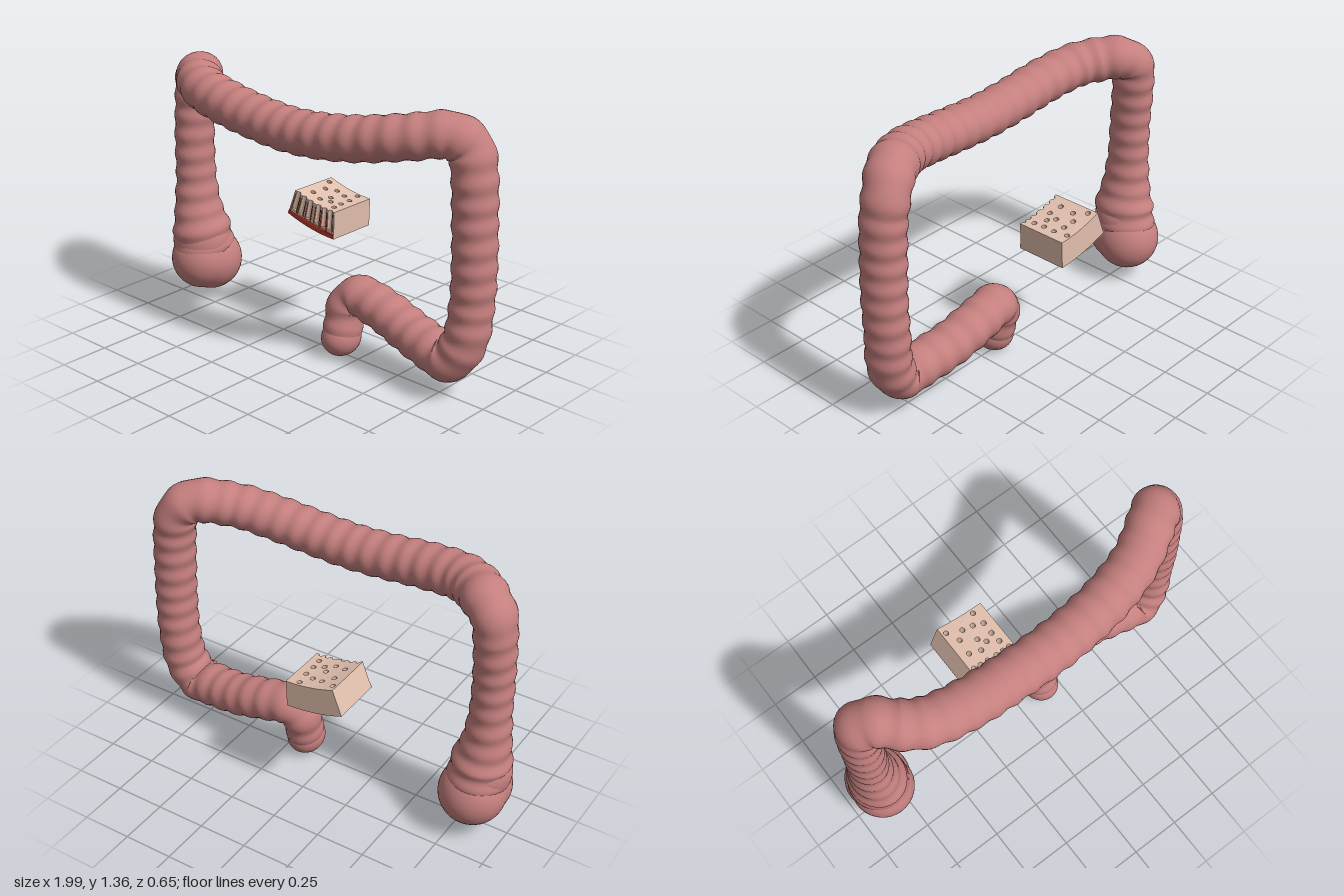
import * as THREE from 'three';
import { mergeVertices } from 'three/addons/utils/BufferGeometryUtils.js';

const mat = (name, color) => Object.assign(new THREE.MeshStandardMaterial({ color }), { name });

// Lobed tube path: x, y, z, radius
const PATH = [
  [-0.83, 0.26, -0.02, 0.15], [-0.842, 0.40, -0.005, 0.143], [-0.857, 0.52, 0, 0.115],
  [-0.865, 0.68, 0, 0.098], [-0.868, 0.88, 0, 0.096], [-0.865, 1.08, -0.01, 0.098],
  [-0.85, 1.2, -0.01, 0.102], [-0.79, 1.243, 0.025, 0.108], [-0.7, 1.235, 0.105, 0.109],
  [-0.6, 1.222, 0.16, 0.108], [-0.4, 1.195, 0.193, 0.108], [-0.2, 1.17, 0.199, 0.107],
  [0, 1.157, 0.2, 0.107], [0.2, 1.167, 0.193, 0.107], [0.4, 1.193, 0.17, 0.107],
  [0.6, 1.23, 0.115, 0.106], [0.785, 1.252, 0.005, 0.108], [0.847, 1.2, -0.035, 0.104],
  [0.876, 1.08, -0.037, 0.102], [0.888, 0.88, -0.036, 0.101], [0.895, 0.68, -0.036, 0.101],
  [0.89, 0.48, -0.036, 0.101], [0.868, 0.29, -0.02, 0.105], [0.8, 0.19, -0.005, 0.11],
  [0.68, 0.2, -0.02, 0.106], [0.52, 0.23, -0.045, 0.104], [0.36, 0.275, -0.058, 0.103],
  [0.2, 0.303, -0.052, 0.101], [0.153, 0.25, -0.03, 0.097], [0.15, 0.17, -0.01, 0.094],
  [0.15, 0.095, 0.01, 0.092]
];
// The tube is a little deeper than it is wide
const DEPTH = 1.12;

// Sweep a tube along the path, swelling it into evenly spaced round lobes
function lobedTube(path, spacing) {
  const curve = new THREE.CatmullRomCurve3(path.map(p => new THREE.Vector3(p[0], p[1], p[2])), false, 'centripetal');
  curve.arcLengthDivisions = 1000;
  const lobes = Math.round(curve.getLength() / spacing), steps = lobes * 10, sides = 28;
  const geo = new THREE.TubeGeometry(curve, steps, 1, sides, false);
  const pos = geo.attributes.position, v = new THREE.Vector3();
  for (let i = 0; i <= steps; i++) {
    const u = i / steps, centre = curve.getPointAt(u);
    const k = curve.getUtoTmapping(u) * (path.length - 1);
    const a = Math.min(Math.floor(k), path.length - 2);
    const radius = THREE.MathUtils.lerp(path[a][3], path[a + 1][3], k - a);
    const swell = 0.975 - 0.035 * Math.cos(u * lobes * Math.PI * 2);
    for (let j = 0; j <= sides; j++) {
      const n = i * (sides + 1) + j;
      v.fromBufferAttribute(pos, n).sub(centre).multiplyScalar(radius * swell);
      v.z *= DEPTH;
      v.add(centre);
      pos.setXYZ(n, v.x, v.y, v.z);
    }
  }
  geo.deleteAttribute('uv');
  geo.deleteAttribute('normal');
  const smooth = mergeVertices(geo, 1e-5);
  smooth.computeVertexNormals();
  return smooth;
}

// Bent slab: flat plan (s along the arc, depth -z) extruded upward, then curved about an axis
const AXIS = { x: 0.06, y: 1.476 }, R_BOTTOM = 0.93, R_TOP = 0.79;
function bentSlab(s0, s1, front, back, h0, h1, pits = [], notches = []) {
  const pts = [], n = 6, r = 0.012;
  const edge = [];
  for (let i = 0; i <= n; i++) {
    const s = s0 + (s1 - s0) * i / n;
    if (notches.every(c => Math.abs(s - c) > r + 0.002)) edge.push([s, [[s, -front]]]);
  }
  for (const c of notches) {
    const arc = [];
    for (let i = 0; i <= 8; i++) {
      const t = Math.PI * (1 - i / 8);
      arc.push([c + r * Math.cos(t), -front + r * Math.sin(t)]);
    }
    edge.push([c, arc]);
  }
  edge.sort((a, b) => a[0] - b[0]).forEach(e => pts.push(...e[1]));
  for (let i = n; i >= 0; i--) pts.push([s0 + (s1 - s0) * i / n, -back]);
  const shape = new THREE.Shape(pts.map(p => new THREE.Vector2(...p)));
  for (const [s, z] of pits) shape.holes.push(new THREE.Path().absarc(s, -z, 0.013, 0, Math.PI * 2, true));
  const geo = new THREE.ExtrudeGeometry(shape, { depth: h1 - h0, bevelEnabled: false, curveSegments: 7 });
  const pos = geo.attributes.position;
  for (let i = 0; i < pos.count; i++) {
    const t = pos.getX(i) / R_TOP, rad = R_BOTTOM - h0 - pos.getZ(i);
    pos.setXYZ(i, AXIS.x + rad * Math.sin(t), AXIS.y - rad * Math.cos(t), -pos.getY(i));
  }
  geo.computeVertexNormals();
  return geo;
}

export function createModel() {
  const model = new THREE.Group();
  model.name = 'largeIntestineWithTissueBlock';
  const pink = mat('intestine pink', 0xc47f7e);
  const beige = mat('tissue beige', 0xe2c0ae);
  const red = mat('vessel red', 0xc23a2c);
  const dark = mat('crypt brown', 0x6b4038);
  const add = (parent, name, geo, material, p) => {
    const mesh = new THREE.Mesh(geo, material);
    mesh.name = name;
    if (p) mesh.position.set(...p);
    parent.add(mesh);
    return mesh;
  };

  // Intestine: lobed tube with a swollen pouch at one end and a rounded tip at the other
  const gut = new THREE.Group();
  gut.name = 'intestine';
  model.add(gut);
  add(gut, 'colonTube', lobedTube(PATH, 0.1), pink);
  const ball = r => new THREE.SphereGeometry(r, 36, 24);
  add(gut, 'pouchBack', ball(0.164), pink, [-0.825, 0.222, -0.047]);
  add(gut, 'pouchFront', ball(0.158), pink, [-0.831, 0.235, 0.008]);
  add(gut, 'pouchNeck', ball(0.15), pink, [-0.84, 0.33, -0.005]);
  add(gut, 'rectumTip', ball(0.093), pink, [0.15, 0.093, 0.01]).scale.z = DEPTH;

  // Tissue block: solid base under a layer pierced by pits, with half pits along its front
  const block = new THREE.Group();
  block.name = 'tissueBlock';
  model.add(block);
  const S0 = -0.287, S1 = -0.024, FRONT = -0.062, BACK = -0.325, TOP = 0.14, FLOOR = 0.04;
  const pits = [
    [-0.262, -0.285], [-0.086, -0.302], [-0.183, -0.258], [-0.126, -0.25], [-0.075, -0.23],
    [-0.228, -0.22], [-0.152, -0.178], [-0.075, -0.168], [-0.234, -0.138], [-0.172, -0.122],
    [-0.122, -0.145], [-0.07, -0.112]
  ];
  const notches = [-0.262, -0.222, -0.178, -0.126, -0.086, -0.05];
  const cuts = [S0, -0.206, -0.104, S1];
  for (let i = 0; i < 3; i++) {
    const [a, b] = [cuts[i], cuts[i + 1]];
    const inside = s => s > a && s < b;
    add(block, 'blockBase', bentSlab(a, b, FRONT, BACK, 0, FLOOR), beige);
    add(block, 'pittedLayer', bentSlab(a, b, FRONT, BACK, FLOOR, TOP,
      pits.filter(p => inside(p[0])), notches.filter(inside)), beige);
  }

  // Front section details: red vessel band with fine vessels rising beside each half pit
  add(block, 'vesselBand', bentSlab(S0, S1, FRONT + 0.003, FRONT, 0.003, 0.023), red);
  for (const c of notches) {
    for (const side of [-1, 1]) {
      const s = c + side * 0.0165;
      add(block, 'vessel', bentSlab(s - 0.0015, s + 0.0015, FRONT + 0.002, FRONT, 0.023, TOP - 0.015), side < 0 ? red : dark);
    }
  }
  return model;
}
